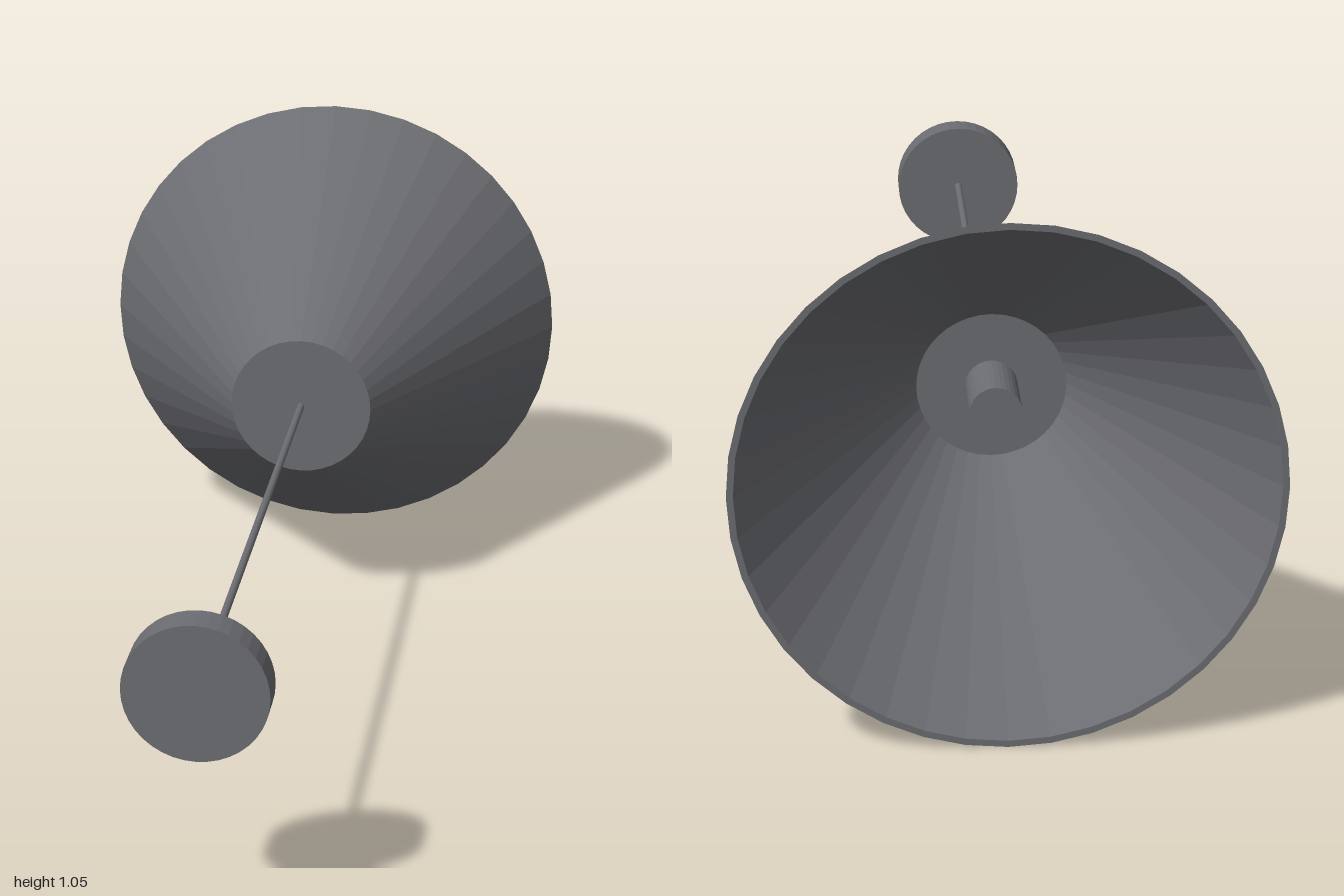
import * as THREE from 'three';

export function createModel() {
  const lamp = new THREE.Group();
  lamp.name = 'pendantLamp';
  const metal = new THREE.MeshStandardMaterial({ color: 0x6c6d72, flatShading: true });
  metal.name = 'dark grey metal';

  // Everything shares one axis; local +y becomes +z (towards the ceiling plate)
  const axis = new THREE.Group();
  axis.name = 'lampAxis';
  axis.rotation.x = Math.PI / 2;
  axis.position.y = 0.527;
  lamp.add(axis);

  const add = (name, geometry) => {
    const mesh = new THREE.Mesh(geometry, metal);
    mesh.name = name;
    axis.add(mesh);
  };
  const rod = (name, radius, from, to, sides) => {
    const g = new THREE.CylinderGeometry(radius, radius, to - from, sides);
    g.translate(0, (from + to) / 2, 0);
    add(name, g);
  };

  // Hollow conical shade with a thin wall and closed top
  const profile = [
    [0, -0.432], [0.152, -0.432], [0.513, -1],
    [0.526, -1], [0.158, -0.42], [0, -0.42],
  ].map(([r, y]) => new THREE.Vector2(r, y));
  add('shade', new THREE.LatheGeometry(profile, 40));

  rod('bulbSocket', 0.053, -0.59, -0.43, 32);
  rod('cord', 0.008, -0.425, 0.94, 16);
  rod('ceilingPlate', 0.143, 0.933, 1, 40);

  return lamp;
}
